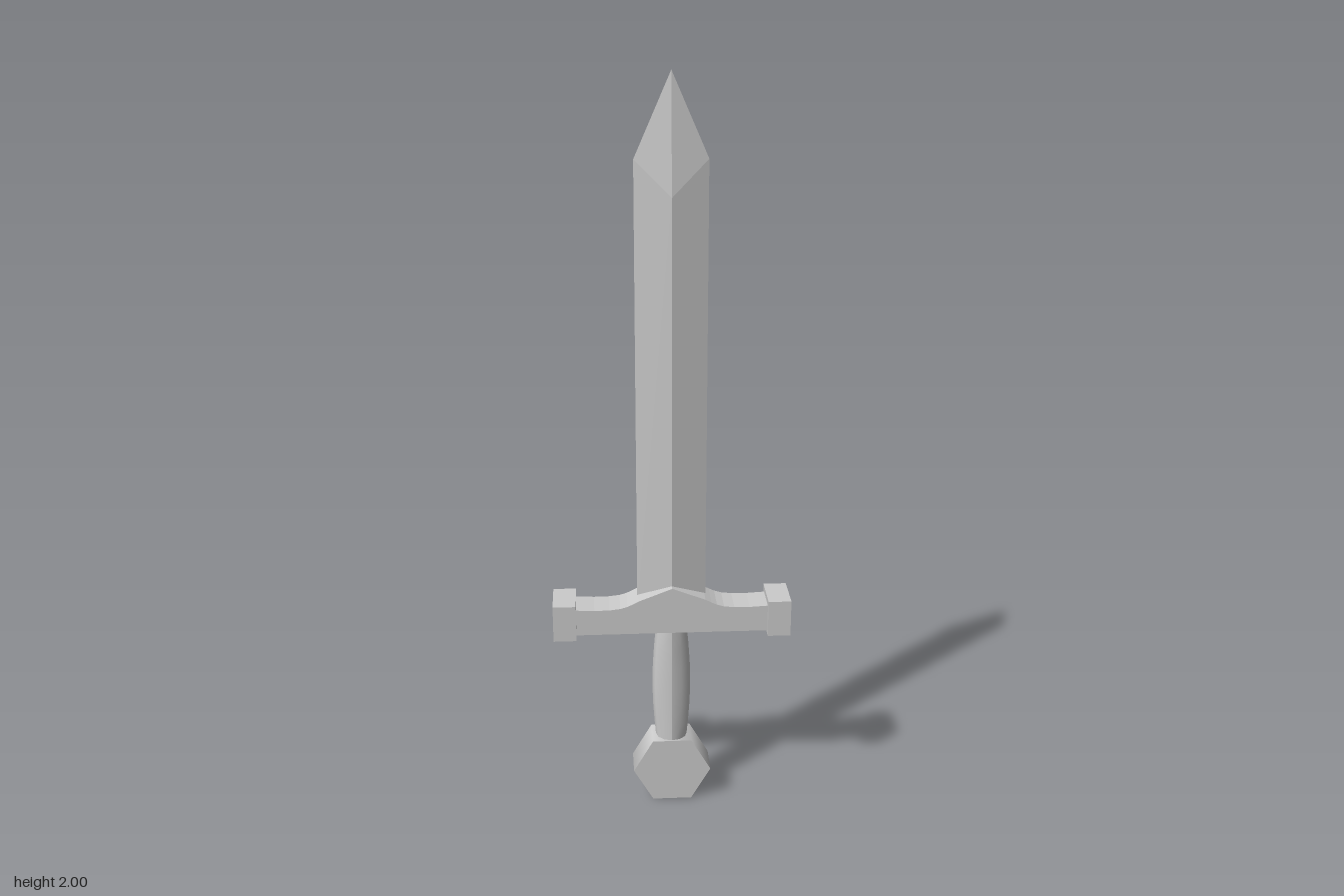
import * as THREE from 'three';
import { ConvexGeometry } from 'three/addons/geometries/ConvexGeometry.js';

const material = new THREE.MeshStandardMaterial({ color: 0xcccccc });
const V = (x, y, z) => new THREE.Vector3(x, y, z);

function part(name, geometry, x = 0, y = 0, z = 0) {
  const mesh = new THREE.Mesh(geometry, material);
  mesh.name = name;
  mesh.position.set(x, y, z);
  return mesh;
}

// Diamond-section blade; the ridges end lower than the cutting edges
function bladeGeometry() {
  const w = 0.093, d = 0.028, points = [V(0, 2, 0)];
  for (const s of [-1, 1]) {
    points.push(V(s * w, 0.57, 0), V(s * w, 1.79, 0));
    points.push(V(0, 0.57, s * d), V(0, 1.7, s * d));
  }
  return new ConvexGeometry(points);
}

// Crossguard with a flat underside and a curved peak in the middle
function guardGeometry() {
  const shape = new THREE.Shape();
  shape.moveTo(-0.27, 0.525);
  shape.lineTo(0.27, 0.525);
  shape.lineTo(0.27, 0.6);
  shape.bezierCurveTo(0.13, 0.59, 0.125, 0.605, 0.09, 0.622);
  shape.lineTo(0, 0.657);
  shape.lineTo(-0.09, 0.622);
  shape.bezierCurveTo(-0.125, 0.605, -0.13, 0.59, -0.27, 0.6);
  shape.closePath();
  return new THREE.ExtrudeGeometry(shape, { depth: 0.088, bevelEnabled: false, curveSegments: 6 })
    .translate(0, 0, -0.044);
}

// Rounded grip that swells sideways only
function gripGeometry() {
  const height = 0.36, r = 0.042;
  const geometry = new THREE.CylinderGeometry(r, r, height, 12, 6);
  const p = geometry.attributes.position;
  for (let i = 0; i < p.count; i++) {
    const swell = Math.cos((p.getY(i) / height) * Math.PI);
    p.setX(i, p.getX(i) * (1 + 0.26 * swell));
  }
  geometry.computeVertexNormals();
  return geometry;
}

export function createModel() {
  const model = new THREE.Group();
  model.name = 'sword';
  model.add(part('blade', bladeGeometry()));
  model.add(part('crossguard', guardGeometry()));
  for (const s of [-1, 1]) {
    model.add(part(s > 0 ? 'leftGuardCap' : 'rightGuardCap',
      new THREE.BoxGeometry(0.062, 0.102, 0.116), s * 0.291, 0.566, 0));
  }
  model.add(part('grip', gripGeometry(), 0, 0.35, 0));

  // Hexagonal pommel lying front to back, corners pointing sideways
  const pommel = new THREE.CylinderGeometry(0.108, 0.108, 0.092, 6)
    .rotateY(Math.PI / 2).rotateX(Math.PI / 2);
  model.add(part('pommel', pommel, 0, 0.0935, 0));
  return model;
}
